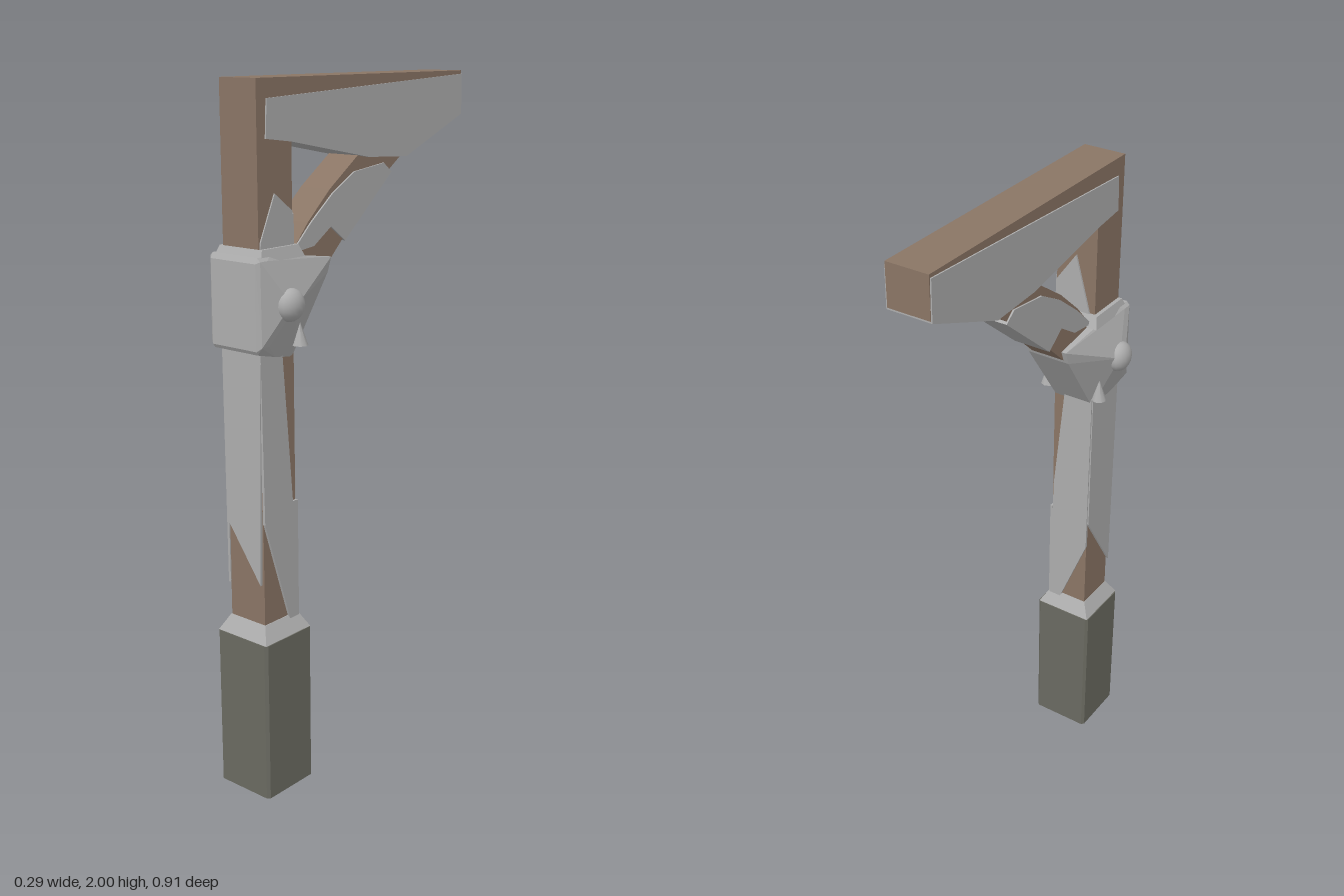
import * as THREE from 'three';
import { ConvexGeometry } from 'three/addons/geometries/ConvexGeometry.js';

const wood = new THREE.MeshStandardMaterial({ name: 'brown wood', color: 0x8a7565 });
const metal = new THREE.MeshStandardMaterial({ name: 'light grey', color: 0xadadad });
const stone = new THREE.MeshStandardMaterial({ name: 'dark stone', color: 0x6a6a61 });
const POST_Z = 0.36;

export function createModel() {
  const model = new THREE.Group();
  model.name = 'bracketPost';

  const add = (name, geometry, material) => {
    const mesh = new THREE.Mesh(geometry, material);
    mesh.name = name;
    model.add(mesh);
    return mesh;
  };
  const extrude = (points, depth) => new THREE.ExtrudeGeometry(
    new THREE.Shape(points.map(([u, v]) => new THREE.Vector2(u, v))),
    { depth, bevelEnabled: false }).translate(0, 0, -depth / 2);
  // Side profile given as (z, y), extruded across x around centre x
  const across = (name, points, width, material, x = 0) =>
    add(name, extrude(points, width).rotateY(-Math.PI / 2).translate(x, 0, 0), material);
  // Plate given as (x, y), facing along z
  const facing = (name, points, z) =>
    add(name, extrude(points, 0.008).translate(0, 0, z), metal);

  // Convex block from rings of [half x, y, front z, back z]
  const block = (name, rings, material) => {
    const points = [];
    for (const [w, y, zf, zb] of rings)
      for (const s of [-1, 1])
        points.push(new THREE.Vector3(s * w, y, zf), new THREE.Vector3(s * w, y, zb));
    return add(name, new ConvexGeometry(points), material);
  };

  // Stone foot with chamfered edges, and its sloping cap
  block('foot', [
    [0.095, 0, 0.447, 0.273], [0.087, 0, 0.455, 0.265],
    [0.095, 0.475, 0.447, 0.273], [0.087, 0.475, 0.455, 0.265],
  ], stone);
  block('footCap', [[0.092, 0.475, 0.452, 0.268], [0.066, 0.522, 0.427, 0.293]], metal);

  // Upright and top beam
  add('post', new THREE.BoxGeometry(0.128, 1.5, 0.13).translate(0, 1.25, POST_Z), wood);
  add('beam', new THREE.BoxGeometry(0.128, 0.12, 0.881).translate(0, 1.94, -0.0155), wood);

  // Grey casing under and beside the beam
  across('beamCasing', [
    [0.39, 1.95], [-0.453, 1.99], [-0.455, 1.875], [-0.19, 1.768],
    [-0.02, 1.777], [0.30, 1.838], [0.395, 1.85],
  ], 0.136, metal);

  // Curved brace with a grey sleeve round its middle
  across('brace', [
    [0.30, 1.53], [0.22, 1.62], [0.13, 1.70], [0.0, 1.79], [-0.10, 1.80],
    [-0.19, 1.775], [-0.13, 1.735], [0.06, 1.575], [0.15, 1.49], [0.27, 1.44],
  ], 0.104, wood);
  across('braceSleeve', [
    [0.29, 1.545], [0.21, 1.62], [0.12, 1.69], [0.03, 1.74], [-0.10, 1.755],
    [-0.135, 1.728], [0.07, 1.555], [0.13, 1.60], [0.20, 1.555],
  ], 0.114, metal);

  // Grey plates on the lower post, each with its own slanted end
  facing('frontPlate', [[-0.07, 1.32], [0.07, 1.32], [0.056, 0.64], [-0.066, 0.81]], 0.428);
  facing('backPlate', [
    [-0.068, 1.30], [0.025, 1.30], [0.058, 0.95], [0.066, 0.5], [0.03, 0.5], [-0.066, 0.75],
  ], 0.292);
  across('leftPlate', [
    [0.432, 1.32], [0.35, 1.32], [0.312, 0.86], [0.292, 0.86],
    [0.292, 0.5], [0.325, 0.5], [0.425, 0.82],
  ], 0.008, metal, 0.067);
  across('rightPlate', [
    [0.432, 1.32], [0.292, 1.32], [0.292, 0.84], [0.428, 0.62],
  ], 0.008, metal, -0.067);

  // Pointed plates rising above the collar
  across('upperSidePlate', [
    [0.422, 1.55], [0.42, 1.59], [0.365, 1.71], [0.298, 1.66], [0.298, 1.54],
  ], 0.008, metal, 0.064);
  facing('upperBackPlate', [[-0.06, 1.53], [0.064, 1.53], [0.064, 1.65], [0, 1.74]], 0.293);

  // Faceted collar that holds post and brace
  block('collar', [
    [0.08, 1.31, 0.456, 0.42], [0.08, 1.54, 0.456, 0.42],
    [0.092, 1.32, 0.447, 0.42], [0.09, 1.545, 0.447, 0.42],
    [0.078, 1.30, 0.45, 0.42], [0.08, 1.555, 0.448, 0.40],
    [0.066, 1.52, 0.14, 0.14], [0.066, 1.48, 0.155, 0.155],
    [0.062, 1.268, 0.30, 0.30], [0.075, 1.283, 0.38, 0.38],
    [0.127, 1.43, 0.37, 0.34],
  ], metal);
  block('collarRim', [
    [0.086, 1.54, 0.44, 0.27], [0.076, 1.572, 0.425, 0.285],
  ], metal);

  // Rivets on both cheeks and a small stud beneath
  for (const side of [-1, 1]) {
    add('rivet', new THREE.SphereGeometry(1, 16, 10).scale(0.034, 0.045, 0.045)
      .translate(side * 0.113, 1.425, POST_Z), metal);
    add('stud', new THREE.ConeGeometry(0.022, 0.065, 8)
      .translate(side * 0.088, 1.335, 0.295), metal);
  }
  return model;
}
